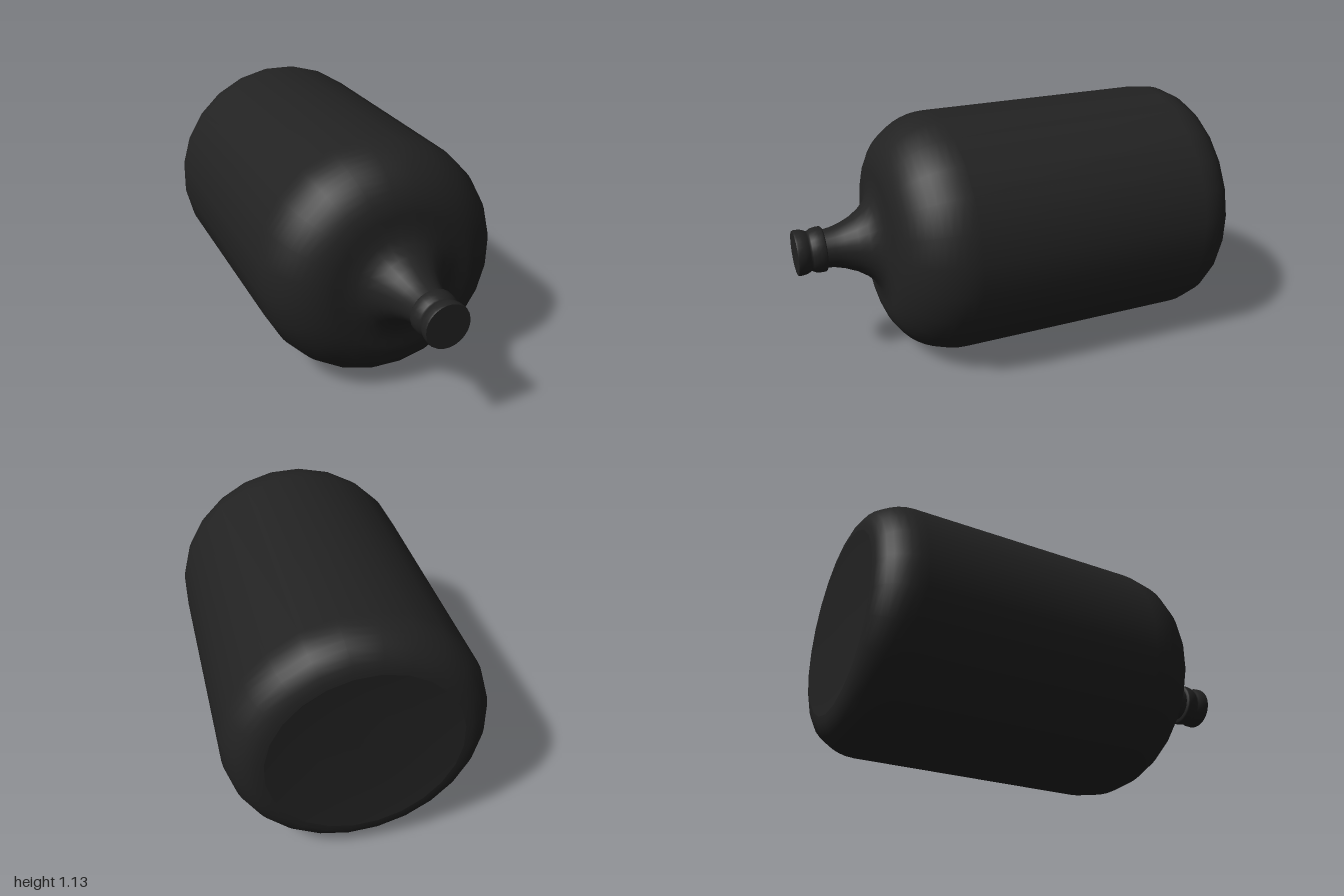
import * as THREE from 'three';

const SIDES = 24;
const R = 0.57; // body radius, also the height of the axis
const TURN = THREE.MathUtils.degToRad(6);

// Points along an elliptical corner, as [radius, z] pairs
function corner(r, z, dr, dz, from, to, steps) {
  return Array.from({ length: steps + 1 }, (_, i) => {
    const a = from + ((to - from) * i) / steps;
    return [r + dr * Math.cos(a), z + dz * Math.sin(a)];
  });
}

export function createModel() {
  const group = new THREE.Group();
  group.name = 'bottle';
  const material = new THREE.MeshStandardMaterial({ color: 0x222222 });

  // Turns a [radius, z] profile, running back to front, around the z axis
  function turned(name, profile) {
    const points = profile.map(([r, z]) => new THREE.Vector2(r, z));
    const geometry = new THREE.LatheGeometry(points, SIDES, TURN);
    geometry.rotateX(Math.PI / 2);
    const mesh = new THREE.Mesh(geometry, material);
    mesh.name = name;
    mesh.position.y = R;
    group.add(mesh);
  }

  // Slightly dished base
  turned('base', [[0, -0.985], [0.2, -0.987], [0.34, -0.993], [0.42, -1]]);

  // Rounded heel, straight wall, round shoulder and flared neck
  turned('body', [
    ...corner(0.42, -0.81, 0.15, 0.19, -Math.PI / 2, 0, 8),
    ...corner(0.29, 0.31, 0.28, 0.31, 0, Math.PI / 2, 12),
    [0.235, 0.631], [0.195, 0.65], [0.16, 0.685], [0.13, 0.73],
    [0.106, 0.785], [0.093, 0.83], [0.087, 0.872],
  ]);

  // Two beads of the lip with a groove between them
  turned('lip', [
    [0.085, 0.868], [0.1, 0.87], [0.105, 0.876], [0.105, 0.896], [0.102, 0.918],
    [0.094, 0.932], [0.091, 0.938], [0.094, 0.944], [0.1, 0.955], [0.104, 0.97],
    [0.105, 0.992], [0.102, 1],
  ]);

  // Closed mouth
  turned('mouth', [[0.102, 1], [0, 1]]);

  return group;
}
